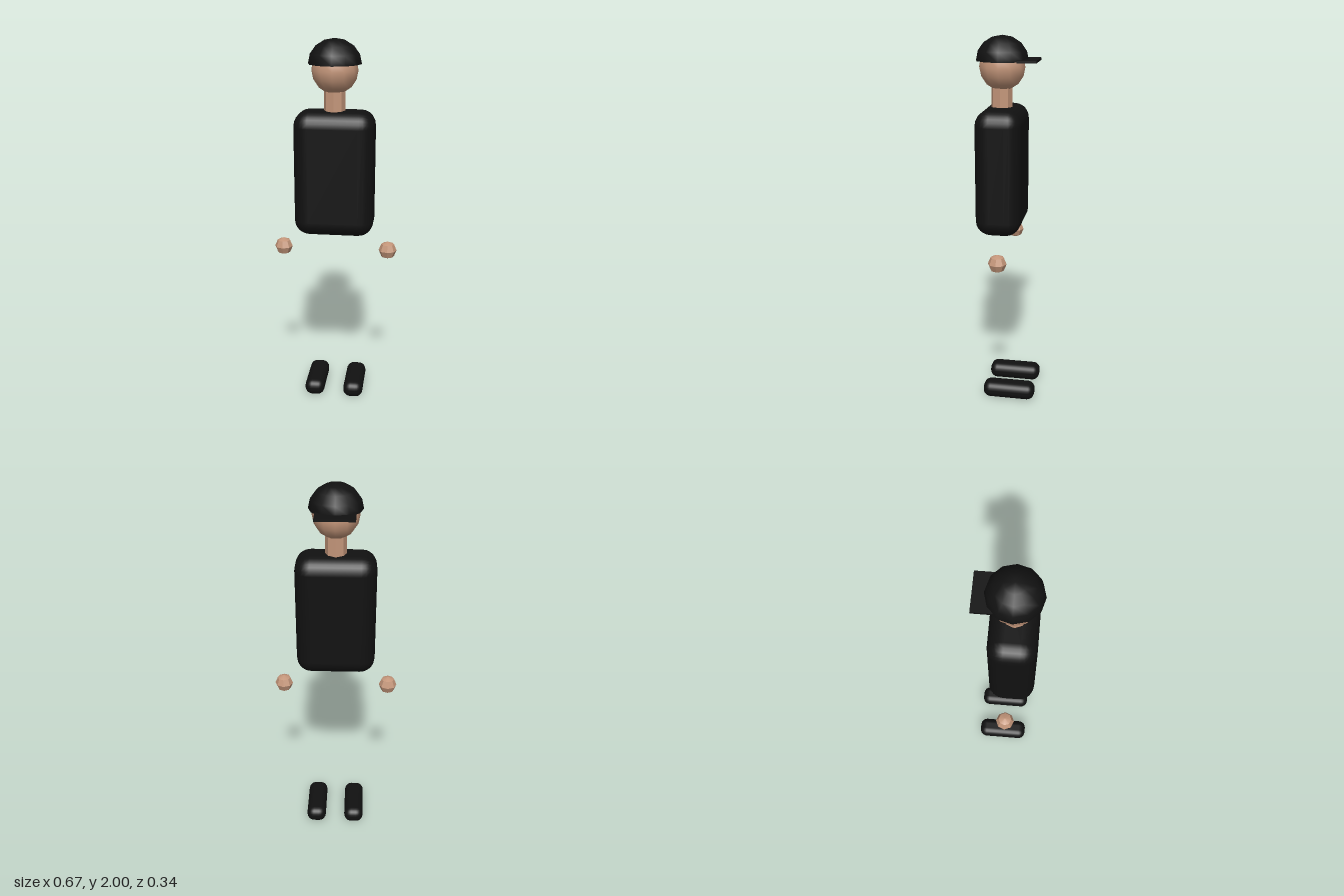
import * as THREE from 'three';
import { toCreasedNormals } from 'three/addons/utils/BufferGeometryUtils.js';
import { RoundedBoxGeometry } from 'three/addons/geometries/RoundedBoxGeometry.js';

export function createModel() {
  const model = new THREE.Group();
  const skin = new THREE.MeshStandardMaterial({ color: 0xc4967a });
  skin.name = 'skin';
  const black = new THREE.MeshStandardMaterial({ color: 0x111111 });
  black.name = 'black cloth';
  const lining = new THREE.MeshStandardMaterial({ color: 0x111111, side: THREE.DoubleSide });
  lining.name = 'black cap cloth';

  const add = (name, geometry, material, x, y, z) => {
    const mesh = new THREE.Mesh(geometry, material);
    mesh.name = name;
    mesh.position.set(x, y, z);
    model.add(mesh);
    return mesh;
  };
  const faceted = (geometry) => toCreasedNormals(geometry, 0.6);

  // Body, neck and head
  add('torso', new RoundedBoxGeometry(0.42, 0.66, 0.24, 3, 0.08), black, 0, 1.31, 0.03);
  add('neck', faceted(new THREE.CylinderGeometry(0.055, 0.055, 0.13, 8)), skin, 0, 1.675, 0.033);
  add('head', new THREE.SphereGeometry(0.12, 12, 8), skin, 0, 1.843, 0.031);

  // Cap: open dome with a flat brim at -z
  const dome = new THREE.SphereGeometry(0.137, 12, 4, 0, Math.PI * 2, 0, Math.PI / 2);
  dome.scale(1, 0.92, 1);
  add('capDome', dome, lining, 0, 1.874, 0.03);
  add('capBrim', new THREE.BoxGeometry(0.2, 0.012, 0.1), black, 0, 1.877, -0.108);

  // Hands and shoes, mirrored
  for (const [side, s] of [['left', 1], ['right', -1]]) {
    add(side + 'Hand', faceted(new THREE.SphereGeometry(0.049, 8, 4)), skin, s * 0.287, 0.878, 0.007);
    add(side + 'Shoe', new RoundedBoxGeometry(0.11, 0.09, 0.29, 3, 0.04), black, s * 0.11, 0.045, -0.025);
  }
  return model;
}
